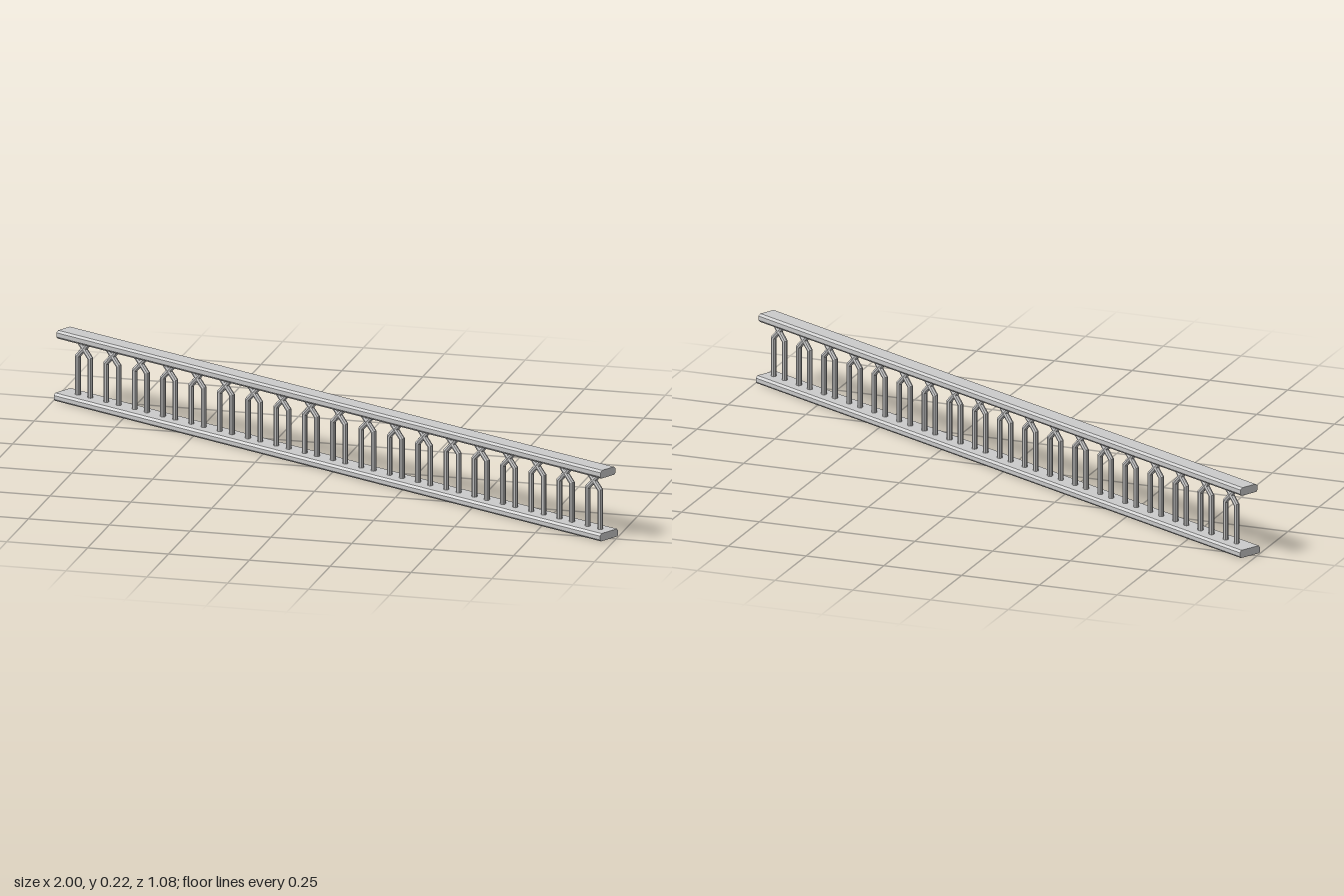
import * as THREE from 'three';

const material = new THREE.MeshStandardMaterial({ color: 0xcccccc, flatShading: true });

// Rail running along local x; profile is [half width, height] up one side
function rail(name, length, side) {
  const pts = [
    ...side.map(([w, y]) => new THREE.Vector2(w, y)),
    ...side.slice().reverse().map(([w, y]) => new THREE.Vector2(-w, y)),
  ];
  const geo = new THREE.ExtrudeGeometry(new THREE.Shape(pts), { depth: length, bevelEnabled: false });
  geo.translate(0, 0, -length / 2).rotateY(Math.PI / 2);
  const mesh = new THREE.Mesh(geo, material);
  mesh.name = name;
  return mesh;
}

// Octagonal post that rises straight, then leans across its neighbour
function postGeometry(offset, r, yBase, yBend, yTop) {
  const geo = new THREE.CylinderGeometry(r, r, 2, 8, 2, true);
  const pos = geo.attributes.position;
  const lean = Math.atan2(2 * offset, yTop - yBend);
  for (let i = 0; i < pos.count; i++) {
    const x = pos.getX(i);
    const level = Math.round(pos.getY(i));
    if (level < 0) pos.setXYZ(i, x + offset, yBase, pos.getZ(i));
    else if (level === 0) pos.setXYZ(i, x + offset, yBend + x * Math.tan(lean / 2), pos.getZ(i));
    else pos.setXYZ(i, x / Math.cos(lean) - offset, yTop, pos.getZ(i));
  }
  return geo;
}

export function createModel() {
  const model = new THREE.Group();
  model.name = 'balustrade';
  const run = new THREE.Group();
  run.name = 'railingRun';
  run.rotation.y = -Math.atan2(0.505, 0.98);
  model.add(run);

  // Bottom and top rails
  run.add(rail('bottomRail', 2.205, [[0.036, 0], [0.04, 0.005], [0.04, 0.017], [0.034, 0.024]]));
  run.add(rail('handRail', 2.195, [[0.029, 0.193], [0.034, 0.199], [0.034, 0.212], [0.026, 0.218]]));

  // Pairs of crossing balusters
  const right = postGeometry(0.025, 0.0085, 0.02, 0.145, 0.197);
  const count = 19;
  for (let i = 0; i < count; i++) {
    const pair = new THREE.Group();
    pair.name = 'balusterPair';
    pair.position.x = -1.016 + i * 0.1143;
    for (const turn of [0, Math.PI]) {
      const post = new THREE.Mesh(right, material);
      post.name = 'baluster';
      post.rotation.y = turn;
      pair.add(post);
    }
    run.add(pair);
  }
  return model;
}
